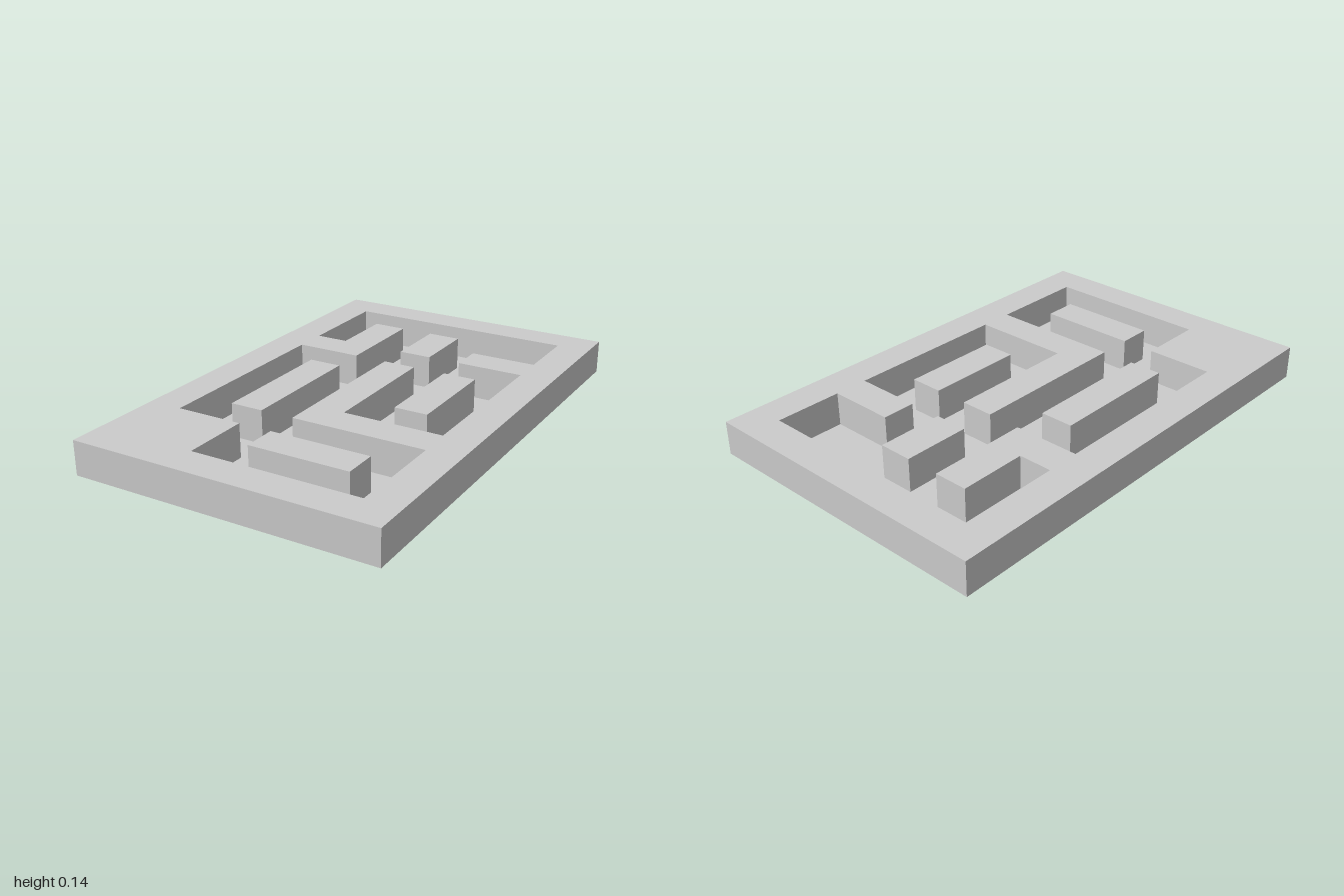
import * as THREE from 'three';
import { mergeGeometries } from 'three/addons/utils/BufferGeometryUtils.js';

const CELL = 1 / 7; // the maze lies on a 9 x 14 grid of cells
const HEIGHT = CELL;

// Grid corner (column, row) to plan position (x, z)
const toPlan = ([c, r]) => new THREE.Vector2((c - 4.5) * CELL, (r - 7) * CELL);

// Rectangle ring, counter-clockwise seen from above
const rect = (c0, r0, c1, r1) => [[c0, r0], [c0, r1], [c1, r1], [c1, r0]].map(toPlan);

// Horizontal face at height y, with holes
function flatFace(ring, holes, y) {
  const flip = (pts) => pts.map((p) => new THREE.Vector2(p.x, -p.y));
  const shape = new THREE.Shape(flip(ring));
  for (const hole of holes) shape.holes.push(new THREE.Path(flip(hole)));
  return new THREE.ShapeGeometry(shape).rotateX(-Math.PI / 2).translate(0, y, 0);
}

// Upright wall along a closed ring; faces outward on counter-clockwise rings
function wallStrip(ring) {
  const pos = [];
  ring.forEach((a, i) => {
    const b = ring[(i + 1) % ring.length];
    pos.push(a.x, 0, a.y, b.x, 0, b.y, b.x, HEIGHT, b.y);
    pos.push(a.x, 0, a.y, b.x, HEIGHT, b.y, a.x, HEIGHT, a.y);
  });
  const geo = new THREE.BufferGeometry();
  geo.setAttribute('position', new THREE.Float32BufferAttribute(pos, 3));
  geo.computeVertexNormals();
  return geo;
}

export function createModel() {
  const model = new THREE.Group();
  model.name = 'mazeBoard';
  const material = new THREE.MeshStandardMaterial({ color: 0xcccccc, side: THREE.DoubleSide });
  const add = (name, geometry) => {
    const mesh = new THREE.Mesh(geometry, material);
    mesh.name = name;
    model.add(mesh);
  };

  const border = rect(0, 0, 9, 14);

  // Outline of the sunken corridors, clockwise so its walls face inward
  const corridor = [
    [1, 1], [8, 1], [8, 3], [6, 3], [6, 4], [8, 4], [8, 9], [5, 9], [5, 5], [4, 5], [4, 10],
    [8, 10], [8, 13], [3, 13], [3, 11], [1, 11], [1, 5], [3, 5], [3, 2], [2, 2], [2, 4], [1, 4],
  ].map(toPlan);

  // Free-standing wall blocks
  const islands = [rect(4, 2, 5, 4), rect(6, 5, 7, 8), rect(2, 6, 3, 10), rect(4, 11, 7, 12)];

  // Hollow shell, open underneath except for the corridor floor
  add('outerSides', wallStrip(border));
  add('wallTop', flatFace(border, [corridor], HEIGHT));
  add('corridorWalls', wallStrip(corridor));
  add('corridorFloor', flatFace(corridor, islands, 0));

  for (const ring of islands) {
    const top = flatFace(ring, [], HEIGHT).toNonIndexed();
    top.deleteAttribute('uv');
    add('islandWall', mergeGeometries([wallStrip(ring), top]));
  }
  return model;
}
